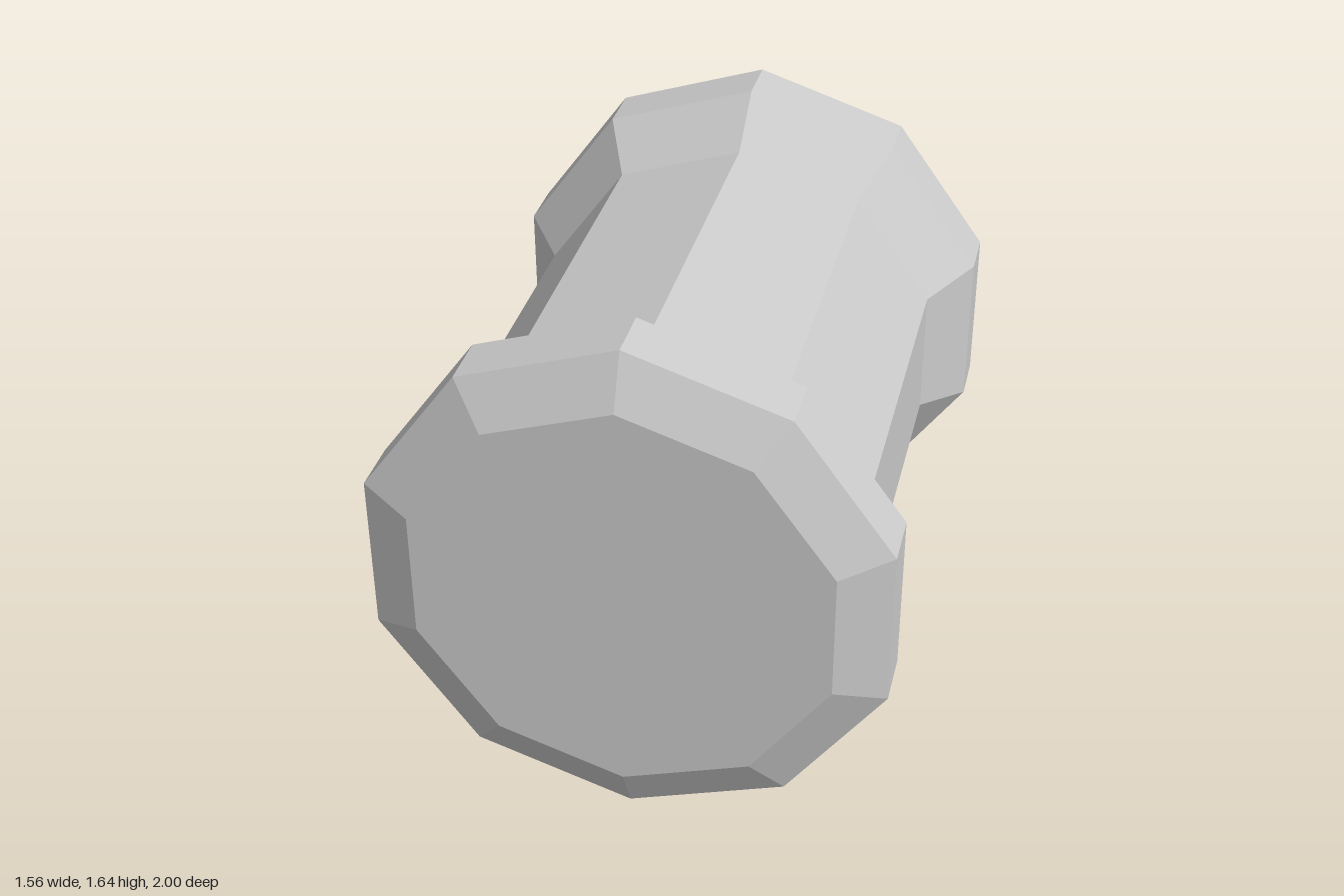
import * as THREE from 'three';

const SIDES = 10;
const CENTRE_Y = 0.82;
const BARREL_R = 0.683;
const BARREL_HALF = 0.567;

export function createModel() {
  const group = new THREE.Group();
  group.name = 'spool';
  const material = new THREE.MeshStandardMaterial({ color: 0xcccccc, flatShading: true });

  // Ten-sided solid of revolution lying along z, with a corner at the top
  function addTurned(name, profile, turn = 0) {
    const points = profile.map(([r, z]) => new THREE.Vector2(r, z));
    const geometry = new THREE.LatheGeometry(points, SIDES).rotateX(Math.PI / 2).toNonIndexed();
    geometry.computeVertexNormals();
    const mesh = new THREE.Mesh(geometry, material);
    mesh.name = name;
    mesh.position.y = CENTRE_Y;
    mesh.rotation.y = turn;
    group.add(mesh);
  }

  // Straight middle section
  addTurned('barrel', [[BARREL_R, -BARREL_HALF], [BARREL_R, BARREL_HALF]]);

  // Flared end: slope, rim, bevel and flat cap
  const flange = [[BARREL_R, BARREL_HALF], [0.82, 0.75], [0.82, 0.925], [0.66, 1], [0, 1]];
  addTurned('frontFlange', flange);
  addTurned('backFlange', flange, Math.PI);

  return group;
}
